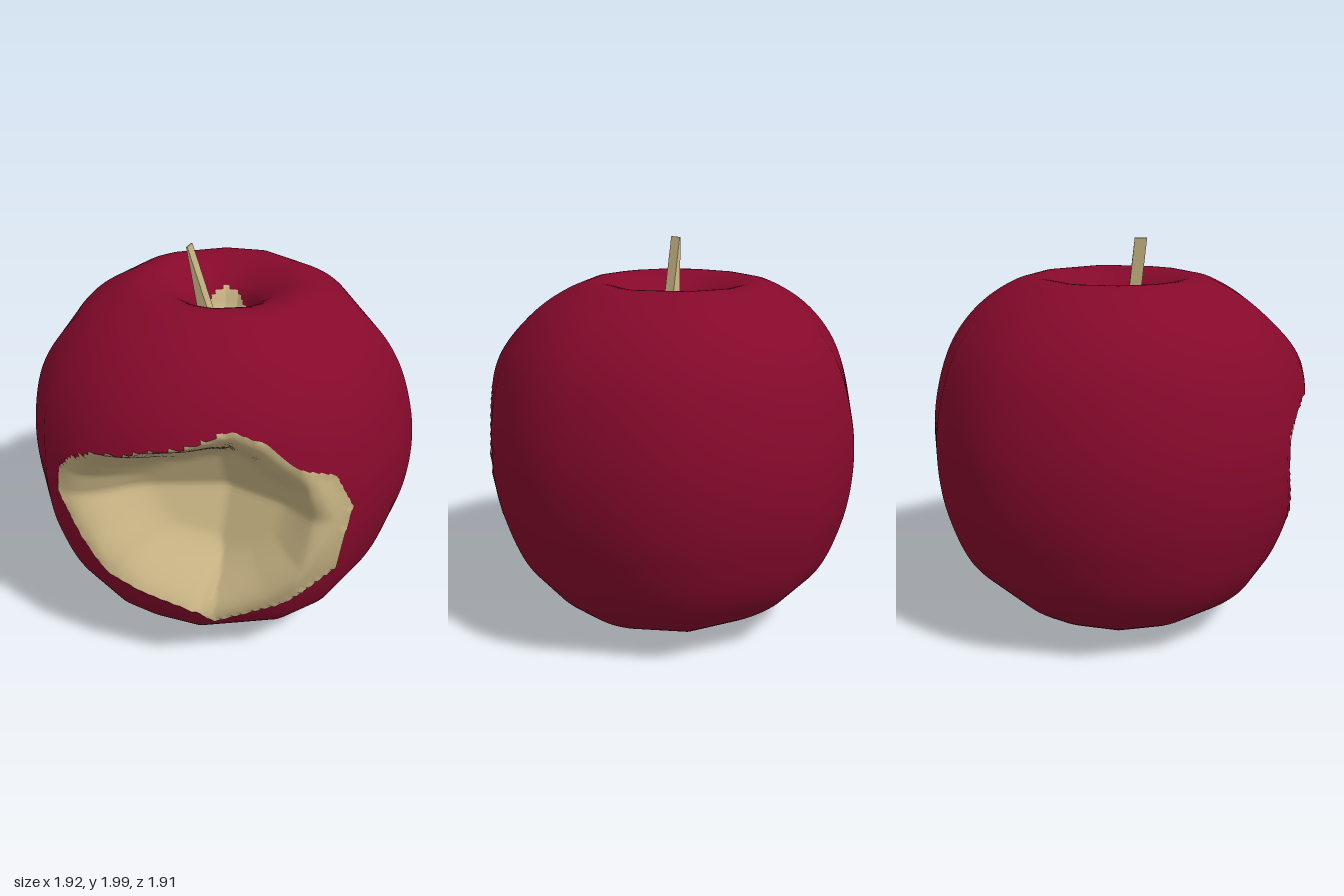
import * as THREE from 'three';

// Uneven outline of the fruit seen from above (x, z)
const OUTLINE = [
  [0.06, -0.95], [0.58, -0.73], [0.96, -0.17], [0.95, 0.08], [0.84, 0.48], [0.67, 0.71],
  [0.2, 0.96], [-0.1, 0.97], [-0.3, 0.94], [-0.62, 0.78], [-0.86, 0.48], [-0.97, 0.03],
  [-0.87, -0.42], [-0.78, -0.56], [-0.34, -0.88],
];

// Ragged edge of the bite seen from the front (x, y)
const BITE_EDGE = [
  [0.35, 1.46], [0.5, 1.4], [0.6, 1.3], [0.76, 1.2], [0.83, 1.0], [0.77, 0.62], [0.54, 0.45],
  [0.24, 0.32], [0.2, 0.43], [0, 0.49], [-0.25, 0.57], [-0.4, 0.75], [-0.53, 0.95],
  [-0.51, 1.1], [-0.4, 1.2], [-0.26, 1.29], [-0.1, 1.32], [0, 1.36], [0.15, 1.39],
];
const BITE_X = 0.2, BITE_Y = 0.95;

// Half-profile from the bottom hollow, round the side, into the top hollow (radius, y)
const PROFILE = [
  [0, 0.17], [0.12, 0.14], [0.22, 0.06], [0.33, 0.02], [0.48, 0.08], [0.77, 0.31], [0.91, 0.63],
  [0.955, 0.9], [0.94, 1.16], [0.85, 1.45], [0.72, 1.63], [0.57, 1.745], [0.42, 1.805],
  [0.3, 1.78], [0.18, 1.7], [0.12, 1.58], [0, 1.5],
];

// Distance along (dx, dy) from (cx, cy) to the polygon, in lengths of (dx, dy)
function reach(polygon, cx, cy, dx, dy) {
  let far = 0;
  polygon.forEach(([px, py], i) => {
    const [qx, qy] = polygon[(i + 1) % polygon.length];
    const ex = qx - px, ey = qy - py;
    const det = dx * ey - dy * ex;
    if (Math.abs(det) < 1e-9) return;
    const t = ((px - cx) * ey - (py - cy) * ex) / det;
    const s = ((px - cx) * dy - (py - cy) * dx) / det;
    if (t > 0 && s >= 0 && s <= 1) far = Math.max(far, t);
  });
  return far;
}

function buildFruit(skinMaterial, fleshMaterial) {
  const curve = new THREE.CatmullRomCurve3(PROFILE.map(([r, y]) => new THREE.Vector3(r, y, 0)));
  const points = curve.getSpacedPoints(150).map((p) => new THREE.Vector2(Math.max(p.x, 0), p.y));
  const body = new THREE.LatheGeometry(points, 260, Math.PI);
  const pos = body.attributes.position;
  const flesh = [];

  for (let i = 0; i < pos.count; i++) {
    let x = pos.getX(i), y = pos.getY(i), z = pos.getZ(i);
    const r = Math.hypot(x, z);
    // Bare, ragged patches at both ends of the core
    const patch = (y > 1 ? 0.15 : 0.12) + 0.018 * Math.sin(3 * Math.atan2(z, x) + 1);
    let bare = r < patch && (y < 0.3 || y > 1.4);
    if (r > 1e-5) {
      // Uneven outline, with a fuller front above the bite
      const front = Math.max(0, z / r) ** 2 * 0.06 * Math.exp(-(((y - 1.38) / 0.2) ** 2));
      const scale = reach(OUTLINE, 0, 0, x / r, z / r) / 0.96 + front / r;
      x *= scale;
      z *= scale;
    }
    // Lopsided base, higher at the back
    y -= 0.06 * z * Math.max(0, 0.6 - y);

    if (z > 0) {
      const dx = x - BITE_X, dy = y - BITE_Y;
      const edge = reach(BITE_EDGE, BITE_X, BITE_Y, dx, dy);
      const depth = edge > 0 ? 1 - 1 / edge : 1;
      if (Math.abs(depth) < 0.02) {
        // Settle the nearest points on the bite edge
        x = BITE_X + dx * edge;
        y = BITE_Y + dy * edge;
      } else if (depth > 0) {
        // Hollow out two lobes that meet in an upright crease
        const floor = 0.46 + (dx < 0 ? 0.42 : 0.2) * Math.abs(dx) + 0.38 * Math.abs(dy);
        z += (Math.min(floor, z) - z) * Math.sin(Math.min(1, depth * 1.8) * Math.PI / 2);
        bare = true;
      }
    }
    pos.setXYZ(i, x, y, z);
    flesh.push(bare);
  }

  // Share the triangles out between skin and flesh
  const skinIndex = [], fleshIndex = [];
  const index = body.index.array;
  for (let i = 0; i < index.length; i += 3) {
    const tri = [index[i], index[i + 1], index[i + 2]];
    (tri.some((v) => flesh[v]) ? fleshIndex : skinIndex).push(...tri);
  }
  const fleshGeometry = body.clone();
  fleshGeometry.setIndex(fleshIndex);
  fleshGeometry.computeVertexNormals();
  body.setIndex(skinIndex);

  const skin = new THREE.Mesh(body, skinMaterial);
  skin.name = 'skin';
  const inside = new THREE.Mesh(fleshGeometry, fleshMaterial);
  inside.name = 'flesh';
  return [skin, inside];
}

// Thin leaning stem, pinched to an edge at the tip
function buildStem(material) {
  const geometry = new THREE.BoxGeometry(0.06, 0.5, 0.06);
  geometry.translate(0, 1.75, 0);
  const pos = geometry.attributes.position;
  for (let i = 0; i < pos.count; i++) {
    const t = (pos.getY(i) - 1.5) / 0.5;
    pos.setX(i, pos.getX(i) * (1.4 - 1.3 * t) - 0.03 - 0.1 * t);
    pos.setZ(i, pos.getZ(i) + 0.08 + 0.05 * t);
  }
  geometry.computeVertexNormals();
  const stem = new THREE.Mesh(geometry, material);
  stem.name = 'stem';
  return stem;
}

export function createModel() {
  const skinMaterial = new THREE.MeshStandardMaterial({ color: 0x85092b });
  skinMaterial.name = 'dark red skin';
  const fleshMaterial = new THREE.MeshStandardMaterial({ color: 0xc8b484 });
  fleshMaterial.name = 'cream flesh';

  const apple = new THREE.Group();
  apple.name = 'bittenApple';
  apple.add(...buildFruit(skinMaterial, fleshMaterial), buildStem(fleshMaterial));
  return apple;
}
